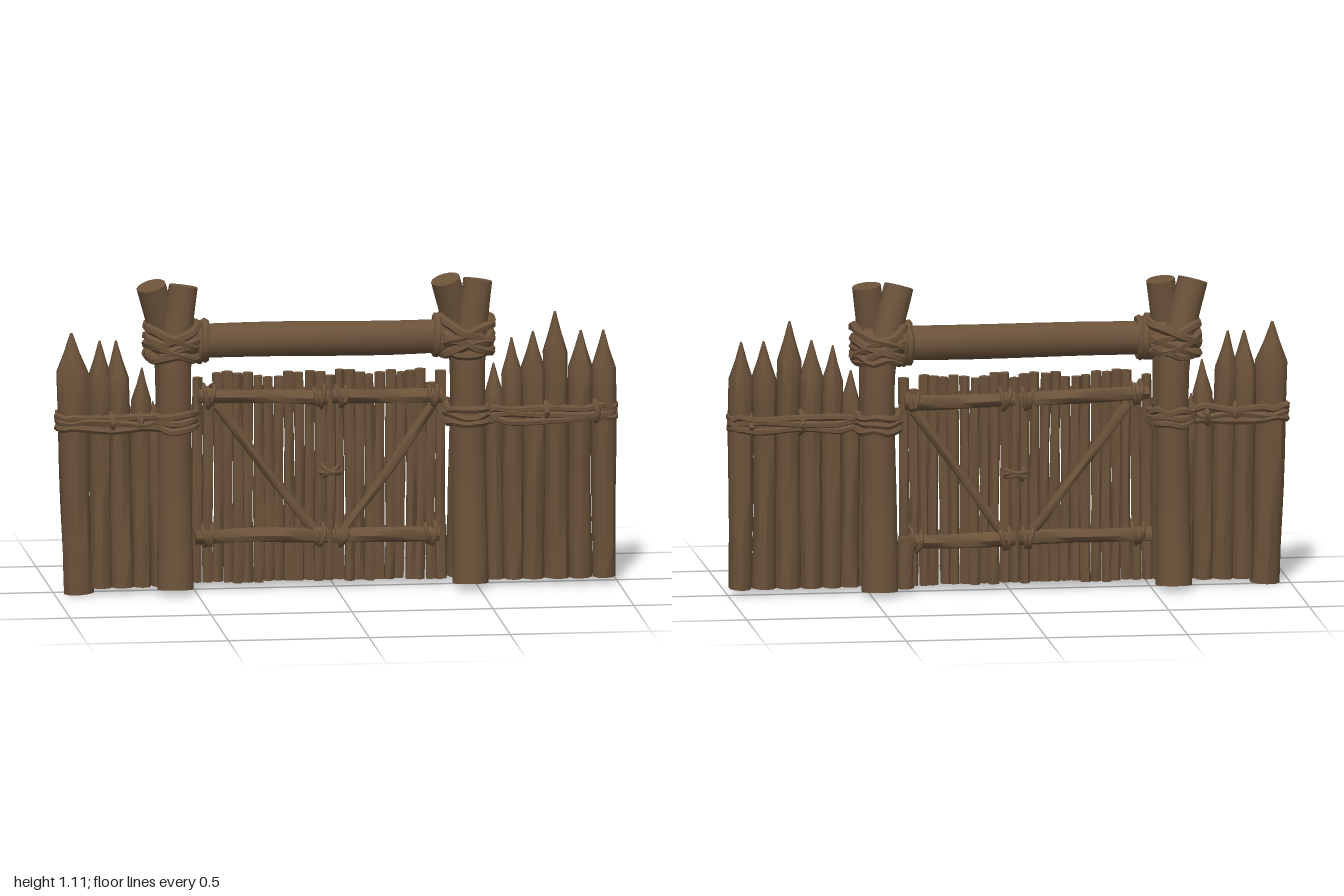
import * as THREE from 'three';
import { toCreasedNormals } from 'three/addons/utils/BufferGeometryUtils.js';

const wood = new THREE.MeshStandardMaterial({ color: 0x6b523a });
wood.name = 'brown wood';

let seed = 7;
const rnd = () => (seed = (seed * 16807) % 2147483647) / 2147483647;
const vary = (a) => (rnd() * 2 - 1) * a;
const V = (x, y, z) => new THREE.Vector3(x, y, z);

export function createModel() {
  const model = new THREE.Group();
  model.name = 'palisadeGate';

  const add = (name, geo, parent = model) => {
    const mesh = new THREE.Mesh(toCreasedNormals(geo, 0.75), wood);
    mesh.name = name;
    parent.add(mesh);
    return mesh;
  };
  const group = (name) => {
    const g = new THREE.Group();
    g.name = name;
    model.add(g);
    return g;
  };

  // Uneven log along a path; "tip" is the share of the length carved to a point.
  function log(name, pts, r0, r1, { sides = 10, rows = 8, tip = 0, deep = 1, rough = 0.07, parent } = {}) {
    const curve = new THREE.CatmullRomCurve3(pts);
    const geo = new THREE.CylinderGeometry(1, 1, 1, sides, rows);
    const p = geo.attributes.position;
    const a = rnd() * 6, b = rnd() * 6, up = V(0, 1, 0), v = V(0, 0, 0);
    const shoulder = (rows - 2) / rows;
    for (let i = 0; i < p.count; i++) {
      v.fromBufferAttribute(p, i);
      let t = v.y + 0.5, k = 1;
      if (tip) {
        t = t <= shoulder + 1e-6 ? (t / shoulder) * (1 - tip)
          : 1 - tip + ((t - shoulder) / (1 - shoulder)) * tip;
        if (t > 1 - tip) k = Math.max(0.08, (1 - t) / tip);
      }
      const ang = Math.atan2(v.z, v.x);
      const w = 1 + rough * (Math.sin(2 * ang + a + t * 5) + 0.7 * Math.sin(3 * ang + b - t * 9));
      const r = (r0 + (r1 - r0) * t) * k * w;
      const q = new THREE.Quaternion().setFromUnitVectors(up, curve.getTangent(t));
      v.set(v.x * r, 0, v.z * r * deep).applyQuaternion(q).add(curve.getPoint(t));
      p.setXYZ(i, v.x, v.y, v.z);
    }
    return add(name, geo, parent);
  }

  // Closed rope ring: half-sizes a and b along two axes, squared off by "square".
  function ring(name, c, ax, a, bx, b, r, parent, { n = 14, square = 1, wob = 0.008, seg = 32 } = {}) {
    const pts = [];
    for (let i = 0; i < n; i++) {
      const t = (i / n) * Math.PI * 2, ct = Math.cos(t), st = Math.sin(t);
      pts.push(c.clone()
        .addScaledVector(ax, a * Math.sign(ct) * Math.abs(ct) ** square)
        .addScaledVector(bx, b * Math.sign(st) * Math.abs(st) ** square)
        .add(V(vary(wob * 0.5), vary(wob), vary(wob * 0.5))));
    }
    add(name, new THREE.TubeGeometry(new THREE.CatmullRomCurve3(pts, true), seg, r, 6, true), parent);
  }
  const X = V(1, 0, 0), Y = V(0, 1, 0), Z = V(0, 0, 1);

  // Paired gate posts, front one leaning to +x at the top, back one to -x
  for (const [side, x] of [['right', -0.575], ['left', 0.47]]) {
    const g = group(side + 'GatePosts');
    const o = { sides: 14, rows: 12, rough: 0.025, parent: g };
    log('frontPost', [V(x, 0.015, 0.085), V(x, 0.35, 0.05), V(x, 0.78, 0.05), V(x + 0.012, 0.92, 0.035), V(x + 0.035, 1.09, 0.022)], 0.063, 0.052, o);
    log('backPost', [V(x, 0.015, -0.085), V(x, 0.35, -0.058), V(x, 0.78, -0.058), V(x - 0.03, 0.92, -0.03), V(x - 0.078, 1.09, 0.008)], 0.063, 0.052, o);

    // Rope bands at rail height
    for (const y of [0.59, 0.613, 0.637])
      ring('postBand', V(x, y, -0.002), X, 0.077, Z, 0.116, 0.014, g, { square: 0.8 });
    // Crossed lashings where the beam rests
    for (const s of [-1, 1]) for (const d of [-0.02, 0.02]) {
      const slope = V(1, s * 0.4, 0).normalize();
      ring('crossLashing', V(x - 0.005, 0.89 + d, 0), slope, 0.092, Z, 0.118, 0.017, g, { square: 0.75 });
    }
    for (const y of [0.845, 0.875])
      ring('beamLashing', V(x, y, 0), X, 0.082, Z, 0.116, 0.015, g, { square: 0.75, wob: 0.014 });
    // Collar around the beam end
    const dir = x < 0 ? 1 : -1;
    for (let i = 0; i < 3; i++)
      ring('beamCollar', V(x + dir * (0.075 + i * 0.018), 0.885, 0), Y, 0.066, Z, 0.066, 0.014, g, { n: 10 });
  }

  // Crossbeam
  log('crossbeam', [V(-0.62, 0.885, -0.012), V(-0.2, 0.888, 0), V(0.2, 0.885, 0.002), V(0.52, 0.887, -0.008)],
    0.06, 0.06, { sides: 14, rows: 12, rough: 0.025 });

  // Sharpened fence stakes: foot x, top x, foot y, top y, radius
  const stakes = {
    right: [[-0.912, -0.938, 0, 0.93, 0.054], [-0.832, -0.838, 0.02, 0.9, 0.041],
      [-0.757, -0.78, 0.02, 0.9, 0.041], [-0.69, -0.688, 0.02, 0.8, 0.036], [-0.625, -0.65, 0.02, 0.68, 0.028]],
    left: [[0.565, 0.56, 0.02, 0.79, 0.034], [0.63, 0.624, 0.02, 0.88, 0.038], [0.7, 0.7, 0.02, 0.9, 0.041],
      [0.785, 0.778, 0.02, 0.97, 0.044], [0.868, 0.87, 0.02, 0.9, 0.042], [0.952, 0.95, 0.02, 0.9, 0.042]],
  };
  for (const side in stakes) {
    const g = group(side + 'Fence');
    for (const [x0, x1, y0, y1, r] of stakes[side]) {
      const mid = (x0 + x1) / 2 + vary(0.005);
      log('stake', [V(x0, y0, 0.022), V(mid, (y0 + y1) / 2, 0.022 + vary(0.006)), V(x1, y1, 0.024)],
        r * 1.02, r * 1.02, { sides: 10, rows: 9, tip: 0.15, deep: Math.min(1.35, 0.056 / r), rough: 0.05, parent: g });
    }
    // Rope rail wound round the row
    const [a, b] = side === 'right' ? [-0.985, -0.6] : [0.5, 0.986];
    for (const y of [0.592, 0.612, 0.634])
      ring('ropeRail', V((a + b) / 2, y, 0.02), X, (b - a) / 2, Z, 0.057, 0.013, g,
        { n: 24, square: 0.4, wob: 0.009, seg: 56 });
    // Knots on the rail
    const xs = side === 'right' ? [-0.8, -0.7] : [0.74, 0.92];
    for (const x of xs) ring('railKnot', V(x, 0.613, 0.022), Y, 0.034, Z, 0.066, 0.011, g, { n: 8, seg: 16 });
  }

  // Gate slats
  const gate = group('gate');
  const count = 25;
  for (let i = 0; i < count; i++) {
    const x = -0.487 + (i / (count - 1)) * 0.862;
    const top = i === 1 ? 0.7 : i === count - 2 ? 0.72 : 0.762 + vary(0.014);
    log('slat', [V(x + vary(0.004), 0.018 + rnd() * 0.008, vary(0.004)), V(x + vary(0.005), 0.4, vary(0.005)), V(x + vary(0.005), top, vary(0.004))],
      0.0195, 0.0185, { sides: 7, rows: 6, rough: 0.1, parent: gate });
  }
  log('hingeStub', [V(0.375, 0.018, -0.045), V(0.375, 0.1, -0.045), V(0.373, 0.2, -0.043)], 0.03, 0.028, { parent: gate });

  // Frame on both faces of the gate
  for (const s of [1, -1]) {
    const z = 0.033 * s, o = { sides: 8, rows: 8, rough: 0.06, parent: gate };
    const bar = (name, x0, y0, x1, y1, r, dz = 0) =>
      log(name, [V(x0, y0, z + dz * s), V((x0 + x1) / 2 + vary(0.005), (y0 + y1) / 2 + vary(0.006), z + dz * s), V(x1, y1, z + dz * s)], r, r, o);
    bar('topRail', -0.49, 0.695, -0.03, 0.68, 0.025);
    bar('topRail', -0.015, 0.685, 0.375, 0.68, 0.026);
    bar('bottomRail', -0.5, 0.19, -0.03, 0.188, 0.026);
    bar('bottomRail', -0.015, 0.185, 0.365, 0.182, 0.026);
    bar('diagonalBrace', -0.42, 0.66, -0.08, 0.21, 0.017);
    bar('diagonalBrace', 0.345, 0.65, 0.03, 0.205, 0.017);
    bar('centreStile', -0.02, 0.17, -0.018, 0.7, 0.018, -0.008);
  }

  // Lashings round the frame joints
  for (const [x, y] of [[-0.45, 0.69], [-0.06, 0.683], [0.02, 0.683], [0.345, 0.68],
    [-0.455, 0.19], [-0.06, 0.188], [0.02, 0.186], [0.335, 0.183]])
    for (const d of [-0.011, 0.011])
      ring('jointLashing', V(x + d, y, 0), V(d * 18, 1, 0).normalize(), 0.034, Z, 0.061, 0.0085, gate, { n: 10, square: 0.7, seg: 18 });

  // Latch rope across the middle
  for (const t of [-0.5, 0, 0.5])
    ring('latchRope', V(-0.018, 0.415, 0), V(1, t, 0).normalize(), 0.036, Z, 0.048, 0.009, gate, { n: 10, square: 0.7, seg: 18 });
  return model;
}
